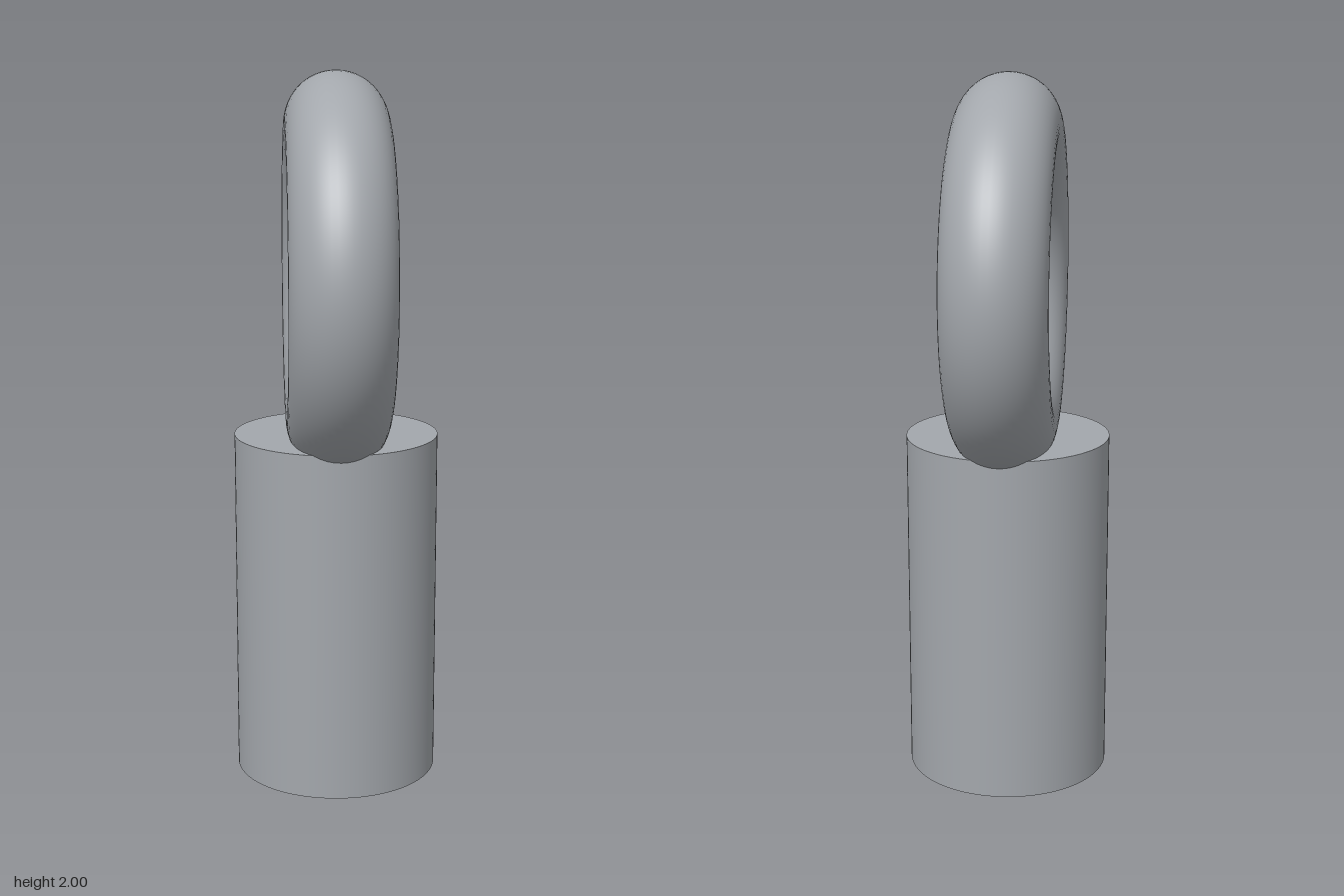
import * as THREE from 'three';

export function createModel() {
  const model = new THREE.Group();
  model.name = 'eyeBolt';

  const steel = new THREE.MeshStandardMaterial({ color: 0xa3a7ac });
  steel.name = 'steel grey';

  // Solid round shank standing on the ground
  const shankHeight = 0.99;
  const shank = new THREE.Mesh(
    new THREE.CylinderGeometry(0.288, 0.288, shankHeight, 96), steel);
  shank.name = 'shank';
  shank.position.y = shankHeight / 2;
  model.add(shank);

  // Ring in the y-z plane, sunk into the top of the shank
  const outerRadius = 0.555, tubeRadius = 0.143;
  const ring = new THREE.Mesh(
    new THREE.TorusGeometry(outerRadius - tubeRadius, tubeRadius, 48, 128), steel);
  ring.name = 'ring';
  ring.rotation.y = Math.PI / 2;
  ring.position.y = 2 - outerRadius;
  model.add(ring);

  return model;
}
